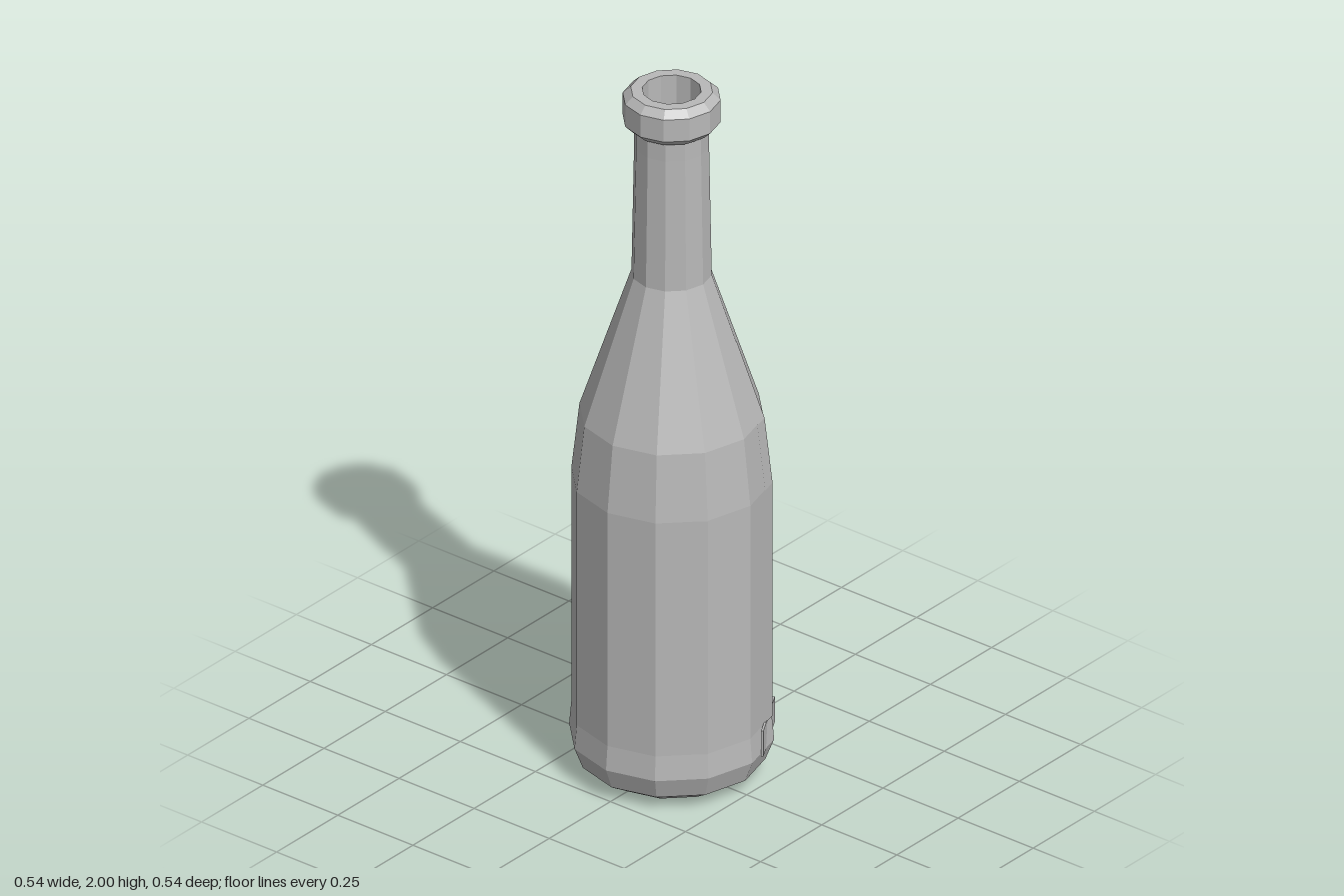
import * as THREE from 'three';

const SIDES = 12;
const STEP = (Math.PI * 2) / SIDES;

// Profile sections: [radius, height]
const BODY = [[0, 0], [0.18, 0], [0.245, 0.04], [0.268, 0.1], [0.262, 0.17], [0.262, 0.86],
  [0.241, 1.05], [0.105, 1.46], [0.098, 1.84], [0.098, 1.91]];
const LIP = [[0.096, 1.895], [0.108, 1.895], [0.128, 1.915], [0.128, 1.98], [0.107, 2],
  [0.077, 2], [0.077, 1.85], [0, 1.85]];

export function createModel() {
  const glass = new THREE.MeshStandardMaterial({ color: 0xb8b8b8, flatShading: true });
  glass.name = 'grey glass';
  const group = new THREE.Group();
  group.name = 'bottle';

  const add = (name, geometry) => {
    const mesh = new THREE.Mesh(geometry, glass);
    mesh.name = name;
    group.add(mesh);
    return mesh;
  };
  const lathe = (profile) =>
    new THREE.LatheGeometry(profile.map(([r, y]) => new THREE.Vector2(r, y)), SIDES);

  add('body', lathe(BODY));
  add('lip', lathe(LIP));

  // Thin strip lying on one facet; rows are [height, radius, start, end] across the facet
  const facetStrip = (name, facet, rows) => {
    const corner = (i, r, y) => new THREE.Vector3(Math.sin(i * STEP) * r, y, Math.cos(i * STEP) * r);
    const mid = (facet + 0.5) * STEP;
    const lift = new THREE.Vector3(Math.sin(mid), 0, Math.cos(mid)).multiplyScalar(0.002);
    const positions = [];
    const index = [];
    rows.forEach(([y, r, from, to], row) => {
      for (const t of [from, to]) {
        const p = corner(facet, r, y).lerp(corner(facet + 1, r, y), t).add(lift);
        positions.push(p.x, p.y, p.z);
      }
      if (row > 0) {
        const a = (row - 1) * 2;
        index.push(a, a + 1, a + 3, a, a + 3, a + 2);
      }
    });
    const geometry = new THREE.BufferGeometry();
    geometry.setAttribute('position', new THREE.Float32BufferAttribute(positions, 3));
    geometry.setIndex(index);
    geometry.computeVertexNormals();
    add(name, geometry);
  };

  facetStrip('frontStrip', 0, [[0.17, 0.262, 0.66, 1], [0.86, 0.262, 0.66, 1],
    [1.05, 0.241, 0.64, 1], [1.27, 0.168, 0.66, 1]]);
  facetStrip('sideStrip', -2, [[0.17, 0.262, 0.85, 1], [0.86, 0.262, 0.85, 1], [1.05, 0.241, 0.85, 1]]);

  // Flat tab near the base, its ends standing clear of the ridge
  const tab = add('baseTab', new THREE.BoxGeometry(0.185, 0.075, 0.006));
  tab.position.set(0.126, 0.136, 0.218);
  tab.rotation.y = STEP;

  return group;
}
